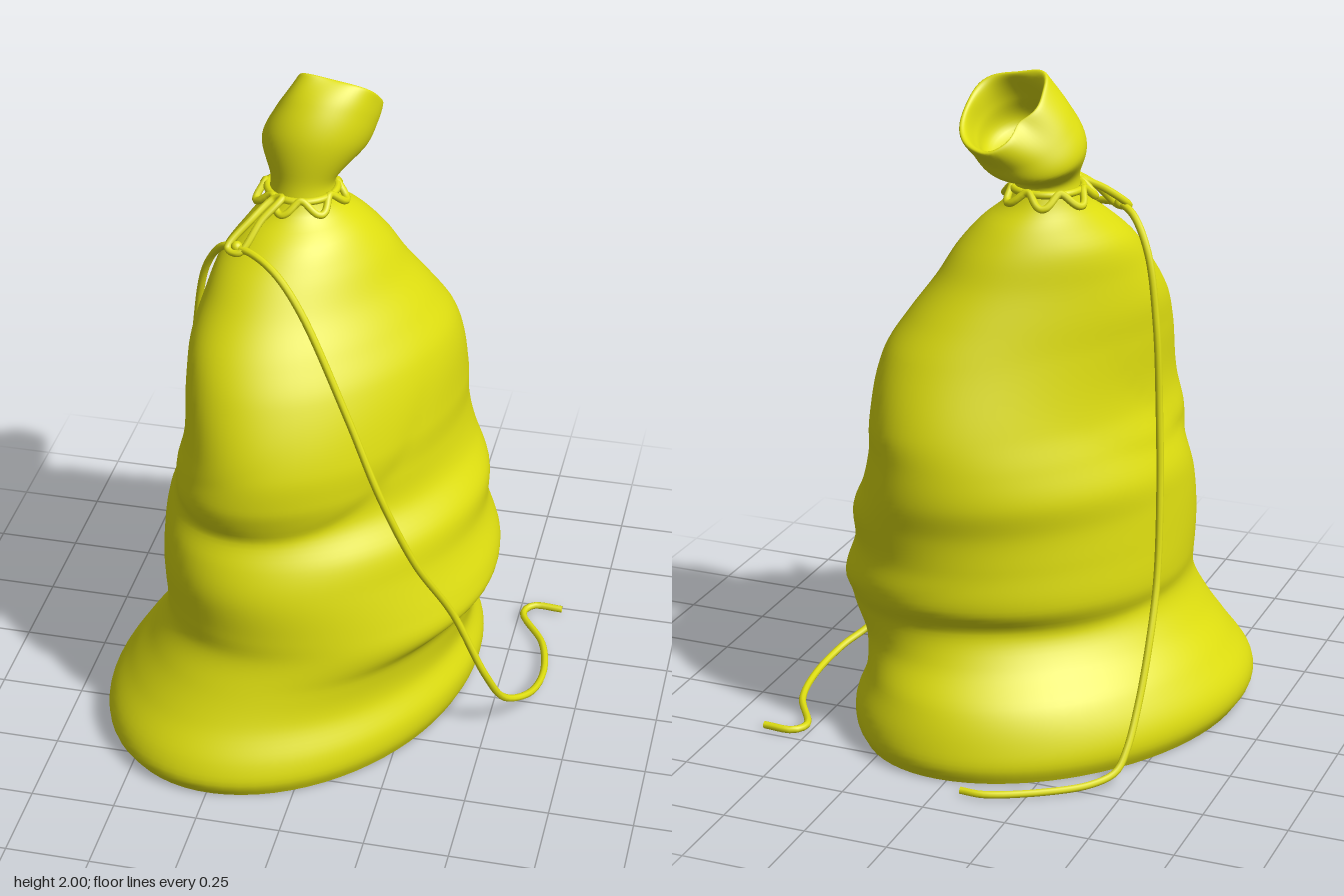
import * as THREE from 'three';

const V = (x, y, z) => new THREE.Vector3(x, y, z);
const SEG = 72;

// Skin a list of closed rings (arrays of Vector3, bottom to top)
function loft(rings) {
  const pos = [], idx = [], n = rings[0].length;
  rings.forEach(r => r.forEach(p => pos.push(p.x, p.y, p.z)));
  for (let i = 0; i < rings.length - 1; i++) {
    for (let j = 0; j < n; j++) {
      const a = i * n + j, b = i * n + (j + 1) % n, c = a + n, d = b + n;
      idx.push(a, c, b, b, c, d);
    }
  }
  const g = new THREE.BufferGeometry();
  g.setAttribute('position', new THREE.Float32BufferAttribute(pos, 3));
  g.setIndex(idx);
  g.computeVertexNormals();
  return g;
}

const ring = fn => Array.from({ length: SEG }, (_, j) => fn(j / SEG * Math.PI * 2));

// Sack outline: height, x min, x max, z min, z max, diagonal skew
const PROFILE = [
  [0.00, -0.61, 0.41, -0.59, 0.62, -0.27],
  [0.04, -0.635, 0.43, -0.605, 0.638, -0.27],
  [0.10, -0.635, 0.435, -0.595, 0.625, -0.27],
  [0.20, -0.58, 0.40, -0.55, 0.57, -0.27],
  [0.30, -0.515, 0.42, -0.475, 0.53, -0.27],
  [0.40, -0.475, 0.475, -0.455, 0.50, -0.27],
  [0.47, -0.475, 0.47, -0.49, 0.50, -0.28],
  [0.60, -0.475, 0.43, -0.49, 0.50, -0.30],
  [0.70, -0.47, 0.425, -0.50, 0.48, -0.33],
  [0.80, -0.46, 0.375, -0.52, 0.45, -0.36],
  [0.90, -0.43, 0.35, -0.52, 0.465, -0.38],
  [1.00, -0.40, 0.345, -0.51, 0.46, -0.40],
  [1.20, -0.395, 0.31, -0.44, 0.39, -0.43],
  [1.30, -0.39, 0.25, -0.39, 0.33, -0.42],
  [1.40, -0.365, 0.18, -0.34, 0.25, -0.38],
  [1.50, -0.33, 0.12, -0.30, 0.17, -0.30],
  [1.57, -0.275, 0.06, -0.26, 0.10, -0.20],
  [1.62, -0.235, 0.00, -0.22, 0.03, -0.10],
  [1.67, -0.215, -0.03, -0.195, 0.00, 0],
];

// Creases: direction in degrees, spread, height, slope, upward curve, depth
const FOLDS = [
  [100, 60, 0.77, 0, 0.16, 0.035],
  [5, 55, 0.36, -0.07, 0.02, 0.05],
  [225, 60, 0.38, 0, 0.05, 0.03],
  [165, 45, 0.86, 0, 0.08, 0.015],
];

function foldScale(angle, y) {
  // the foot spreads out on one diagonal
  let s = 1 + 0.022 * Math.exp(-((y / 0.25) ** 2)) * Math.cos(angle - 2.3);
  for (const [dir, spread, h, slope, curve, depth] of FOLDS) {
    const d = angle - dir * Math.PI / 180;
    const off = Math.atan2(Math.sin(d), Math.cos(d)) / (spread * Math.PI / 180);
    const dy = y - h - slope * off - curve * off * off;
    const dent = Math.exp(-((dy / (dy > 0 ? 0.035 : 0.09)) ** 2));
    const bulge = 0.25 * Math.exp(-(((dy - 0.1) / 0.07) ** 2));
    s -= depth * Math.exp(-off * off * 1.2) * (dent - bulge);
  }
  return s;
}

function sackGeometry() {
  const outline = new THREE.CubicInterpolant(
    PROFILE.map(p => p[0]), PROFILE.flatMap(p => p.slice(1)), 5, new Float32Array(5));
  const section = (y, scale = 1) => {
    const [x0, x1, z0, z1, skew] = [...outline.evaluate(y)];
    const phase = Math.acos(skew);
    return ring(t => {
      const x = Math.cos(t) * (x1 - x0) / 2, z = Math.cos(t - phase) * (z1 - z0) / 2;
      const s = scale * foldScale(Math.atan2(z, x), y);
      return V((x0 + x1) / 2 + x * s, y, (z0 + z1) / 2 + z * s);
    });
  };
  // flat underside first, then the wall
  const rings = [section(0, 0.001), section(0)];
  const rows = 110;
  for (let i = 0; i <= rows; i++) rings.push(section(1.67 * i / rows));
  return loft(rings);
}

// Gathered mouth: centre x, y, z, half width, half depth, backward tilt
const MOUTH = [
  [-0.122, 1.65, -0.098, 0.094, 0.098, 0],
  [-0.118, 1.70, -0.105, 0.096, 0.098, 0.12],
  [-0.10, 1.78, -0.15, 0.148, 0.15, 0.45],
  [-0.07, 1.85, -0.19, 0.145, 0.155, 0.6],
  [-0.04, 1.90, -0.235, 0.12, 0.148, 0.65],
  [-0.04, 1.897, -0.233, 0.105, 0.131, 0.65],
  [-0.065, 1.84, -0.19, 0.115, 0.12, 0.6],
  [-0.09, 1.78, -0.15, 0.11, 0.11, 0.45],
  [-0.10, 1.75, -0.14, 0.001, 0.001, 0.3],
];

// Corners and pinches of the opening: angle, width, amount
const LIP = [[2.3, 0.35, 0.2], [0.75, 0.4, 0.14], [4.65, 0.3, 0.06], [3.65, 0.4, -0.3], [1.55, 0.35, -0.04]];

function mouthGeometry() {
  const shape = new THREE.CubicInterpolant(
    MOUTH.map((_, i) => i), MOUTH.flat(), 6, new Float32Array(6));
  const rings = [];
  for (let i = 0; i <= 64; i++) {
    const k = i / 8;
    const [cx, cy, cz, rx, rz, tilt] = [...shape.evaluate(k)];
    const rim = Math.exp(-((k - 4.4) ** 2));
    rings.push(ring(t => {
      const s = LIP.reduce((sum, [a, w, h]) => sum + h * rim * Math.exp(-(((t - a) / w) ** 2)), 1);
      const x = rx * Math.cos(t) * s, z = rz * Math.sin(t) * s;
      return V(cx + x, cy + z * Math.sin(tilt) - 0.15 * x * rim, cz + z * Math.cos(tilt));
    }));
  }
  return loft(rings);
}

const cord = (points, closed = false, steps = 120) => new THREE.TubeGeometry(
  new THREE.CatmullRomCurve3(points.map(p => V(...p)), closed), steps, 0.011, 8, closed);

export function createModel() {
  const group = new THREE.Group();
  const cloth = new THREE.MeshStandardMaterial({ color: 0xdede10, side: THREE.DoubleSide });
  cloth.name = 'yellow cloth';
  const add = (name, geometry) => {
    const m = new THREE.Mesh(geometry, cloth);
    m.name = name;
    group.add(m);
    return m;
  };

  add('sackBody', sackGeometry());
  add('sackMouth', mouthGeometry());

  // Drawstring weaving round the neck
  const weave = [];
  for (let i = 0; i < 64; i++) {
    const t = i / 64 * Math.PI * 2, w = Math.cos(t * 7);
    const r = 0.118 + 0.014 * w;
    weave.push([-0.125 + r * Math.cos(t), 1.648 - 0.018 * w, -0.1 + r * Math.sin(t)]);
  }
  add('neckDrawstring', cord(weave, true, 256));
  const hem = add('neckHem', new THREE.TorusGeometry(0.1, 0.011, 10, 48));
  hem.rotation.x = Math.PI / 2;
  hem.position.set(-0.122, 1.662, -0.1);

  // Loop and knot hanging from the neck
  add('bowLoop', cord([
    [-0.18, 1.665, 0], [-0.23, 1.625, 0.06], [-0.285, 1.56, 0.125],
    [-0.25, 1.555, 0.135], [-0.2, 1.63, 0.07], [-0.155, 1.675, 0.01]], true));
  const knot = add('knot', new THREE.SphereGeometry(0.017, 16, 12));
  knot.position.set(-0.26, 1.565, 0.12);

  // Two loose cord ends falling to the ground
  add('frontCord', cord([
    [-0.27, 1.565, 0.115], [-0.2, 1.56, 0.15], [-0.13, 1.53, 0.19], [-0.05, 1.44, 0.23],
    [0.1, 1.15, 0.295], [0.2, 0.92, 0.325], [0.3, 0.68, 0.295], [0.4, 0.45, 0.205],
    [0.5, 0.23, 0.19], [0.55, 0.11, 0.13], [0.61, 0.06, 0.03], [0.63, 0.03, -0.12],
    [0.6, 0.02, -0.28], [0.515, 0.015, -0.43], [0.54, 0.015, -0.475], [0.632, 0.015, -0.475]]));
  add('sideCord', cord([
    [-0.25, 1.57, 0.125], [-0.31, 1.545, 0.09], [-0.37, 1.45, 0.05], [-0.41, 1.25, 0.02],
    [-0.43, 1.0, 0], [-0.45, 0.75, -0.04], [-0.465, 0.5, -0.1], [-0.475, 0.34, -0.19],
    [-0.478, 0.2, -0.28], [-0.475, 0.09, -0.37], [-0.46, 0.04, -0.42], [-0.41, 0.02, -0.48],
    [-0.3, 0.013, -0.56], [-0.14, 0.013, -0.64], [-0.07, 0.013, -0.64]]));

  return group;
}
